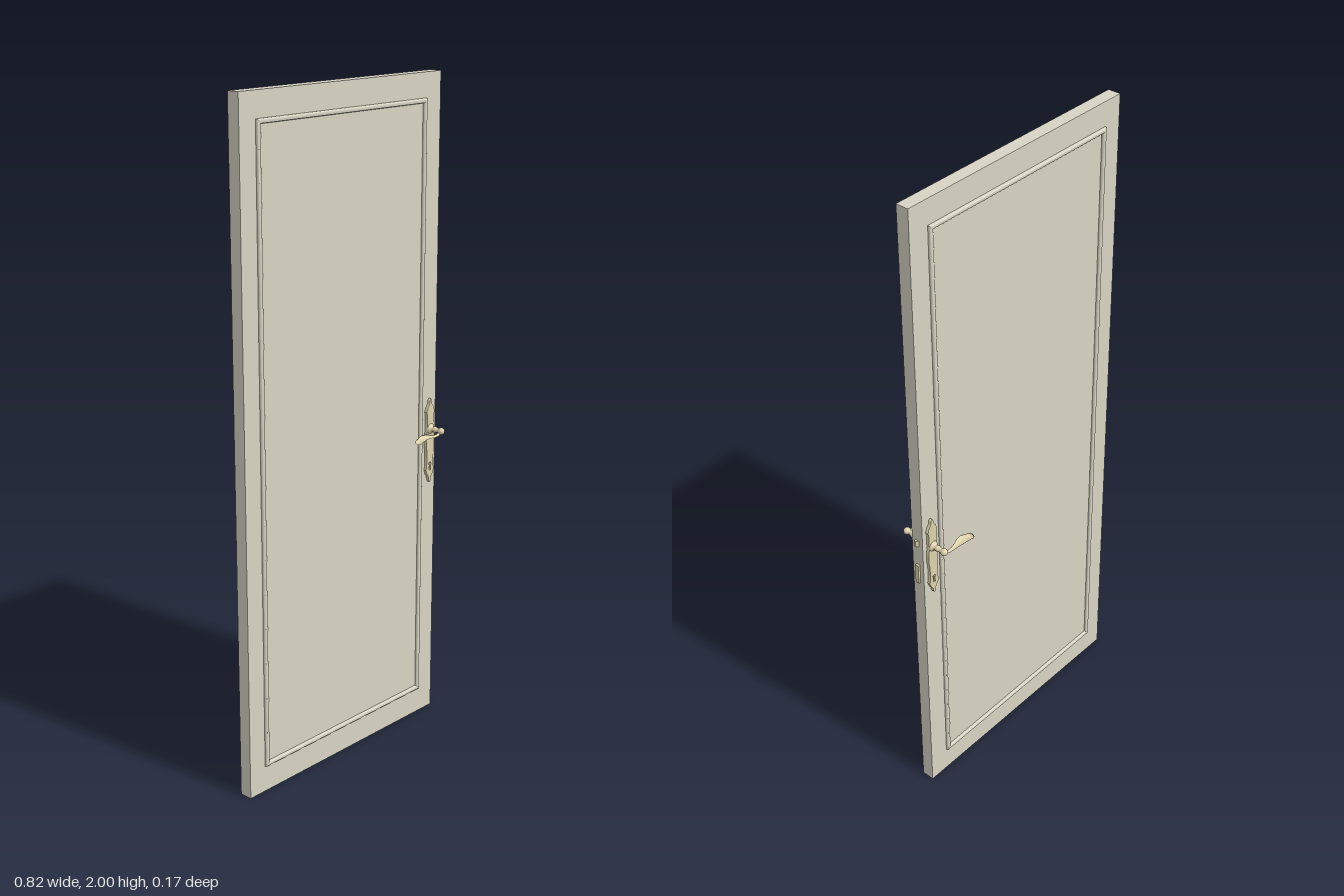
import * as THREE from 'three';
import { toCreasedNormals } from 'three/addons/utils/BufferGeometryUtils.js';

const paint = new THREE.MeshStandardMaterial({ color: 0xd8d4c4 });
const brass = new THREE.MeshStandardMaterial({ color: 0xddd2ac });
const MID = -0.003, HALF = 0.0195; // middle plane and half thickness of the door
const HX = 0.371, HY = 0.935; // handle axis

function add(parent, name, geometry, material, x = 0, y = 0, z = 0) {
  const mesh = new THREE.Mesh(geometry, material);
  mesh.name = name;
  mesh.position.set(x, y, z);
  parent.add(mesh);
  return mesh;
}

function rect(C, w, h) {
  const p = [[-w, -h], [w, -h], [w, h], [-w, h]];
  return new C(p.map(([x, y]) => new THREE.Vector2(x / 2, y / 2)));
}

// Raised frame with a rounded profile
function mouldingGeometry(w, h, band) {
  const shape = rect(THREE.Shape, w, h);
  shape.holes.push(rect(THREE.Path, w - 2 * band, h - 2 * band));
  const g = new THREE.ExtrudeGeometry(shape, {
    depth: 0.004, bevelThickness: 0.006, bevelSize: 0.005, bevelOffset: -0.005, bevelSegments: 4,
  });
  return toCreasedNormals(g.translate(0, 0, -0.002), 0.6);
}

// Long ornamental plate with pointed ends and a keyhole
function plateGeometry() {
  const half = [[0, 0.133], [0.005, 0.127], [0.007, 0.115], [0.014, 0.106], [0.019, 0.092],
    [0.016, 0.082], [0.016, 0.03], [0.019, 0.02]];
  const right = [...half, ...half.slice(1).reverse().map(([x, y]) => [x, -y]), [0, -0.133]];
  const left = right.slice(1, -1).reverse().map(([x, y]) => [-x, y]);
  const shape = new THREE.Shape([...right, ...left].map(([x, y]) => new THREE.Vector2(x, y)));
  const key = new THREE.Path();
  key.absarc(0, -0.074, 0.0045, -Math.PI / 3, Math.PI * 4 / 3, false);
  key.lineTo(-0.003, -0.094);
  key.lineTo(0.003, -0.094);
  key.closePath();
  shape.holes.push(key);
  const g = new THREE.ExtrudeGeometry(shape, {
    depth: 0.005, bevelThickness: 0.003, bevelSize: 0.002, bevelOffset: -0.002, bevelSegments: 2, curveSegments: 8,
  });
  return toCreasedNormals(g, 0.5);
}

// Turned spindle: rose, neck, collar and ball end, along +z
function spindleGeometry() {
  const profile = [[0.016, 0], [0.016, 0.01], [0.013, 0.014], [0.008, 0.016], [0.007, 0.02], [0.009, 0.024],
    [0.0095, 0.028], [0.0075, 0.034], [0.006, 0.04], [0.008, 0.043], [0.0105, 0.048], [0.011, 0.052],
    [0.009, 0.057], [0.005, 0.06], [0, 0.061]];
  const g = new THREE.LatheGeometry(profile.map(([r, y]) => new THREE.Vector2(r, y)), 24);
  return g.rotateX(Math.PI / 2);
}

// Lever: elliptical sections [x, y, radius y, radius z] along a gentle S
function leverGeometry() {
  const rows = [[0, 0, 0.001, 0.001], [-0.004, -0.002, 0.005, 0.006], [-0.02, -0.008, 0.004, 0.005],
    [-0.035, -0.008, 0.0045, 0.006], [-0.05, -0.005, 0.005, 0.009], [-0.065, -0.002, 0.006, 0.0135],
    [-0.08, -0.001, 0.0065, 0.0155], [-0.092, -0.004, 0.006, 0.014], [-0.099, -0.007, 0.006, 0.011],
    [-0.106, -0.009, 0.008, 0.0125], [-0.112, -0.01, 0.007, 0.01], [-0.115, -0.01, 0.0003, 0.0003]];
  const n = 20, curve = [0, 1, 2, 3].map(k => rows.map(r => r[k]));
  const pos = [], idx = [];
  rows.forEach((_, i) => {
    const [x, y, ry, rz] = curve.map(c => c[i]);
    for (let j = 0; j < n; j++) {
      const a = j / n * Math.PI * 2;
      pos.push(x, y + ry * Math.cos(a), rz * Math.sin(a));
      if (i === 0) continue;
      const k = (j + 1) % n, a0 = (i - 1) * n, b0 = i * n;
      idx.push(a0 + j, a0 + k, b0 + j, a0 + k, b0 + k, b0 + j);
    }
  });
  const g = new THREE.BufferGeometry();
  g.setAttribute('position', new THREE.Float32BufferAttribute(pos, 3));
  g.setIndex(idx);
  g.computeVertexNormals();
  return g;
}

export function createModel() {
  const door = new THREE.Group();
  door.name = 'door';

  add(door, 'doorLeaf', new THREE.BoxGeometry(0.816, 2, HALF * 2), paint, -0.005, 1, MID);

  // Mouldings and handle sets on both faces
  const moulding = mouldingGeometry(0.691, 1.848, 0.014);
  const plate = plateGeometry(), spindle = spindleGeometry(), lever = leverGeometry();
  for (const side of [1, -1]) {
    const label = side > 0 ? 'front' : 'back';
    const turn = side > 0 ? 0 : Math.PI;
    const face = MID + side * HALF;
    add(door, label + 'Moulding', moulding, paint, -0.0075, 1.003, face).rotation.y = turn;

    const handle = new THREE.Group();
    handle.name = label + 'Handle';
    door.add(handle);
    add(handle, 'backPlate', plate, brass, HX, 0.897, face + side * 0.002).rotation.y = turn;
    add(handle, 'spindle', spindle, brass, HX, HY, face).rotation.y = turn;
    add(handle, 'lever', lever, brass, HX, HY, MID + side * 0.071);
  }

  // Latch and dead bolt in the lock edge
  const lock = new THREE.Group();
  lock.name = 'lock';
  door.add(lock);
  const latch = new THREE.Shape([[-0.02, -0.006], [0.003, -0.006], [0.01, 0], [0.01, 0.006], [-0.02, 0.006]]
    .map(([x, z]) => new THREE.Vector2(x, z)));
  const latchGeometry = new THREE.ExtrudeGeometry(latch, { depth: 0.02, bevelEnabled: false });
  add(lock, 'latch', latchGeometry.translate(0, 0, -0.01).rotateX(Math.PI / 2), brass, 0.4, 0.95, MID);
  add(lock, 'deadBolt', new THREE.BoxGeometry(0.03, 0.064, 0.012), brass, 0.395, 0.84, MID);

  return door;
}
